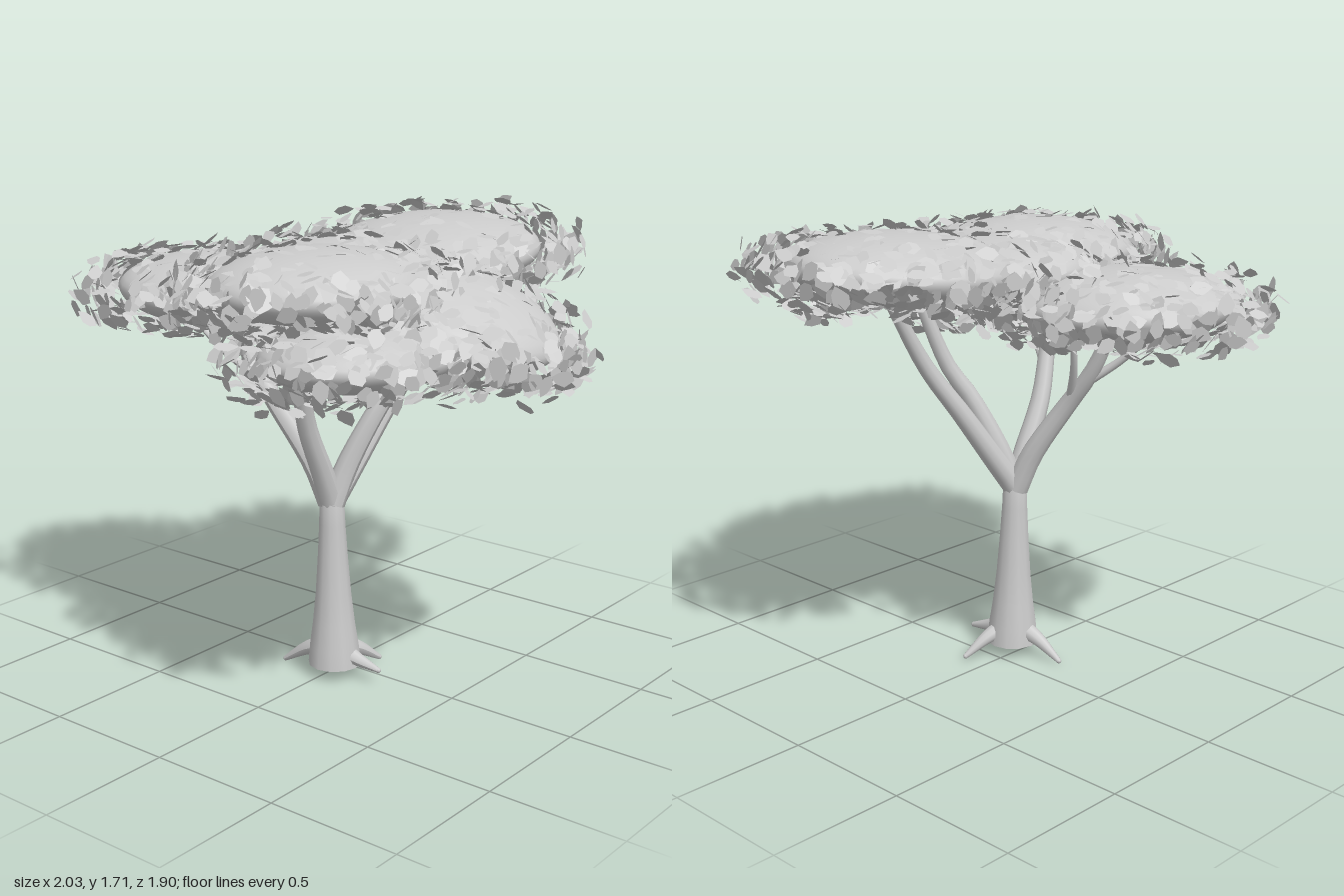
import * as THREE from 'three';
import { mergeGeometries } from 'three/addons/utils/BufferGeometryUtils.js';

const material = new THREE.MeshStandardMaterial({ color: 0xcccccc });
const leafMaterial = new THREE.MeshStandardMaterial({ color: 0xcccccc, side: THREE.DoubleSide });

let seed = 7;
function rand(a = 0, b = 1) {
  seed = (seed * 16807) % 2147483647;
  return a + (b - a) * (seed / 2147483647);
}

// Tube that narrows from r0 to r1 along a smooth path
function limb(name, points, r0, r1) {
  const curve = new THREE.CatmullRomCurve3(points.map(p => new THREE.Vector3(...p)));
  const rings = 14, sides = 10;
  const geo = new THREE.TubeGeometry(curve, rings, 1, sides, false);
  const pos = geo.attributes.position, v = new THREE.Vector3();
  for (let i = 0; i <= rings; i++) {
    const c = curve.getPointAt(i / rings);
    const r = r0 + (r1 - r0) * (i / rings);
    for (let j = 0; j <= sides; j++) {
      const k = i * (sides + 1) + j;
      v.fromBufferAttribute(pos, k).sub(c).multiplyScalar(r).add(c);
      pos.setXYZ(k, v.x, v.y, v.z);
    }
  }
  geo.computeVertexNormals();
  const mesh = new THREE.Mesh(geo, material);
  mesh.name = name;
  // Rounded tip
  const tip = new THREE.Mesh(new THREE.SphereGeometry(r1, 10, 6), material);
  tip.name = name + 'Tip';
  tip.position.set(...points[points.length - 1]);
  mesh.add(tip);
  return mesh;
}

// Small pointed leaf lying in its own xy plane
function leafShape() {
  const s = new THREE.Shape();
  [[0, -0.036], [0.022, -0.022], [0.029, 0.004], [0.015, 0.026], [0, 0.044], [-0.02, 0.022], [-0.027, -0.01]]
    .forEach(([x, y], i) => (i ? s.lineTo(x, y) : s.moveTo(x, y)));
  return new THREE.ShapeGeometry(s);
}

// Leaves scattered over a shell wider than the clump: half buried on top, loose at the rim
function leafCover(count, r) {
  const base = leafShape(), leaves = [], dummy = new THREE.Object3D();
  for (let i = 0; i < count; i++) {
    const y = rand(-1, 1), a = rand(0, Math.PI * 2), h = Math.sqrt(1 - y * y);
    const spread = rand(1.08, 1.44), lift = rand(0.86, 1.04);
    const p = new THREE.Vector3(
      Math.cos(a) * h * r[0] * spread,
      y * r[1] * lift + h * h * rand(-0.08, 0.055),
      Math.sin(a) * h * r[2] * spread);
    const n = new THREE.Vector3(p.x / r[0] ** 2, p.y / r[1] ** 2, p.z / r[2] ** 2).normalize();
    const tilt = 0.2 + 0.5 * h;
    dummy.position.copy(p);
    dummy.lookAt(p.clone().add(n));
    dummy.rotateZ(rand(0, Math.PI * 2));
    dummy.rotateX(rand(-tilt, tilt));
    dummy.rotateY(rand(-tilt, tilt));
    dummy.scale.setScalar(rand(0.75, 1.1));
    dummy.updateMatrix();
    leaves.push(base.clone().applyMatrix4(dummy.matrix));
  }
  return new THREE.Mesh(mergeGeometries(leaves), leafMaterial);
}

export function createModel() {
  seed = 7;
  const tree = new THREE.Group();
  tree.name = 'tree';

  // Trunk, flared at the foot
  const profile = [[0.1, 0.05], [0.093, 0.12], [0.08, 0.21], [0.067, 0.33], [0.056, 0.48], [0.049, 0.6], [0.046, 0.69], [0.03, 0.73], [0, 0.74]];
  const trunk = new THREE.Mesh(new THREE.LatheGeometry(profile.map(p => new THREE.Vector2(...p)), 12), material);
  // Lean slightly sideways with height
  const tp = trunk.geometry.attributes.position;
  for (let i = 0; i < tp.count; i++) tp.setX(i, tp.getX(i) + 0.024 - 0.02 * tp.getY(i));
  trunk.name = 'trunk';
  trunk.position.z = 0.09;
  tree.add(trunk);

  // Flat underside of the trunk
  const foot = new THREE.Mesh(new THREE.CircleGeometry(0.1, 12), material);
  foot.name = 'trunkFoot';
  foot.rotation.x = Math.PI / 2;
  foot.position.set(0.023, 0.05, 0.09);
  tree.add(foot);

  // Roots
  const roots = [[-0.195, 0.015, 0.12], [0.215, 0.06, 0.07], [0.085, 0.02, -0.105]];
  for (const [x, y, z] of roots) {
    const mx = 0.02 + (x - 0.02) * 0.5, mz = 0.09 + (z - 0.09) * 0.5;
    tree.add(limb('root', [[0.02, 0.12, 0.09], [mx, 0.085, mz], [x, y, z]], 0.045, 0.01));
  }

  // Main branches: left, front, right, back
  const branches = [
    [[0.0, 0.68, 0.09], [-0.06, 0.82, 0.11], [-0.2, 1.04, 0.16], [-0.29, 1.16, 0.17], [-0.4, 1.38, 0.18]],
    [[0.01, 0.68, 0.09], [0.01, 0.8, 0.14], [0.015, 1.0, 0.235], [0.04, 1.17, 0.295], [0.07, 1.42, 0.37]],
    [[0.015, 0.68, 0.09], [0.05, 0.82, 0.05], [0.13, 1.03, -0.025], [0.18, 1.15, -0.09], [0.23, 1.42, -0.19]],
    [[0.01, 0.68, 0.09], [0.04, 0.8, 0.01], [0.09, 1.0, -0.12], [0.14, 1.18, -0.24], [0.16, 1.46, -0.4]],
  ];
  for (const path of branches) tree.add(limb('branch', path, 0.046, 0.023));

  // Thin side shoots
  const shoots = [
    [[-0.28, 1.13, 0.17], [-0.38, 1.21, 0.22], [-0.52, 1.34, 0.26]],
    [[-0.2, 1.04, 0.16], [-0.27, 1.2, 0.1], [-0.31, 1.36, 0.04]],
    [[0.03, 1.11, 0.275], [0.13, 1.17, 0.34], [0.28, 1.29, 0.43]],
    [[0.15, 1.05, -0.03], [0.27, 1.14, 0.0], [0.45, 1.29, 0.06]],
  ];
  for (const path of shoots) tree.add(limb('shoot', path, 0.018, 0.009));

  // Foliage clumps: centre, radii, tilt about x and z, leaf count
  const clumps = [
    ['backFoliage', [0.11, 1.565, -0.365], [0.4, 0.125, 0.42], 0.08, 0, 750],
    ['leftFoliage', [-0.43, 1.44, 0.17], [0.4, 0.125, 0.37], 0, -0.03, 750],
    ['frontFoliage', [0.14, 1.54, 0.33], [0.36, 0.12, 0.39], 0.02, 0, 700],
    ['middleFoliage', [0.08, 1.525, 0.0], [0.42, 0.12, 0.3], 0, -0.05, 350],
    ['rightFoliage', [0.57, 1.435, 0.05], [0.32, 0.115, 0.32], 0, -0.36, 650],
    ['lowFoliage', [0.4, 1.35, 0.41], [0.33, 0.11, 0.37], 0, 0.04, 650],
  ];
  for (const [name, centre, r, tiltX, tiltZ, count] of clumps) {
    const clump = new THREE.Group();
    clump.name = name;
    clump.position.set(...centre);
    clump.rotation.set(tiltX, 0, tiltZ);
    const core = new THREE.Mesh(new THREE.SphereGeometry(1, 32, 20), material);
    core.name = 'foliageCore';
    core.scale.set(...r);
    const leaves = leafCover(count, r);
    leaves.name = 'leaves';
    clump.add(core, leaves);
    tree.add(clump);
  }
  return tree;
}
